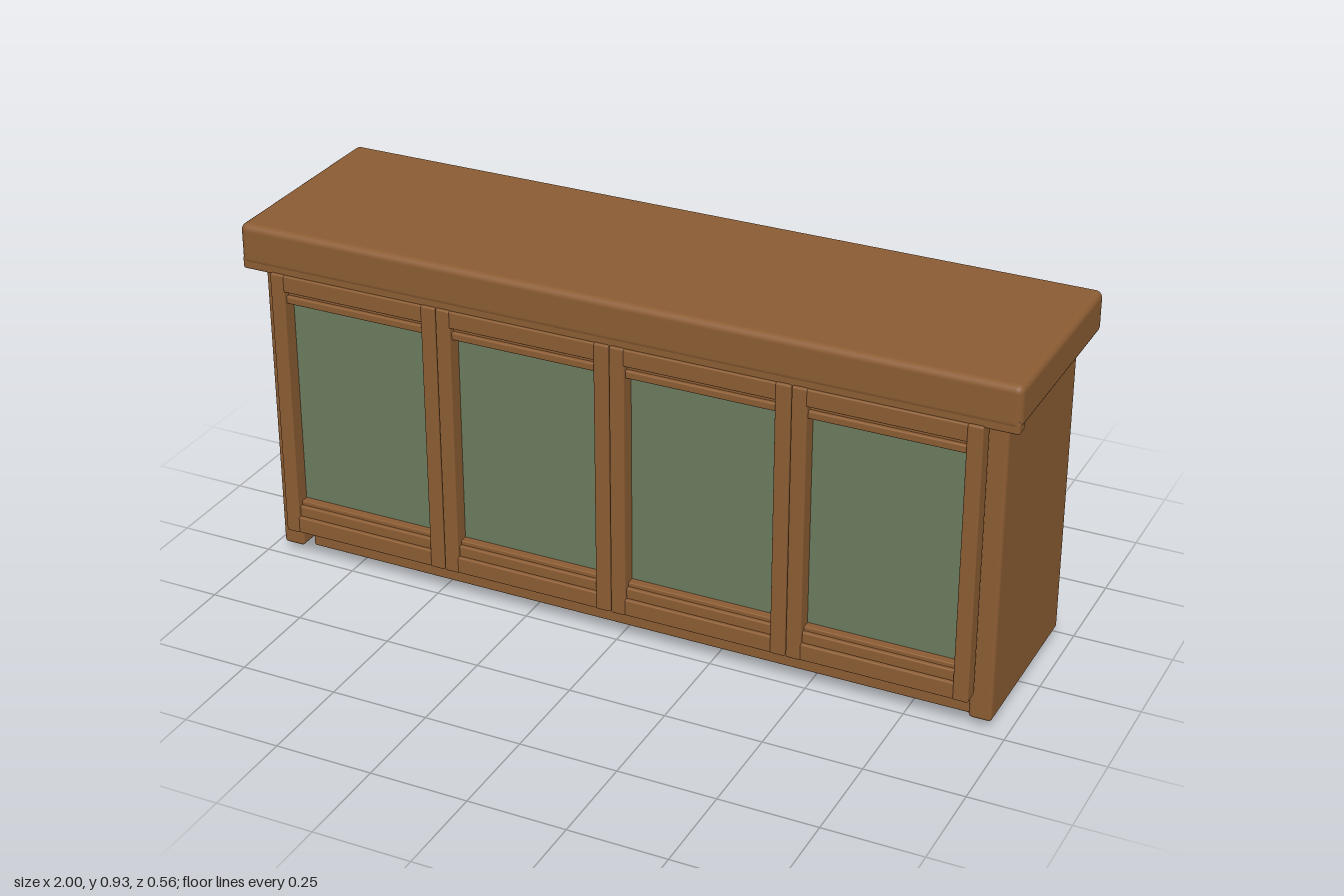
import * as THREE from 'three';
import { RoundedBoxGeometry } from 'three/addons/geometries/RoundedBoxGeometry.js';

export function createModel() {
  const wood = new THREE.MeshStandardMaterial({ name: 'brown wood', color: 0x8b5c33 });
  const glass = new THREE.MeshStandardMaterial({ name: 'green glass', color: 0x6b7b5e });
  const model = new THREE.Group();
  model.name = 'sideboard';

  // Softly rounded board given by its extents on each axis
  function board(parent, name, [x0, x1], [y0, y1], [z0, z1], radius = 0.006, material = wood) {
    const w = x1 - x0, h = y1 - y0, d = z1 - z0;
    const geometry = radius > 0
      ? new RoundedBoxGeometry(w, h, d, 3, radius)
      : new THREE.BoxGeometry(w, h, d);
    const mesh = new THREE.Mesh(geometry, material);
    mesh.name = name;
    mesh.position.set((x0 + x1) / 2, (y0 + y1) / 2, (z0 + z1) / 2);
    parent.add(mesh);
    return mesh;
  }

  // Top slab with a lip under its front edge
  board(model, 'top', [-1, 1], [0.82, 0.927], [-0.28, 0.276], 0.018);
  board(model, 'topLip', [-0.997, 0.997], [0.809, 0.842], [0.238, 0.274], 0.006);

  // Carcass
  board(model, 'leftSide', [0.902, 0.96], [0.026, 0.822], [-0.236, 0.233], 0.01);
  board(model, 'rightSide', [-0.96, -0.902], [0.026, 0.822], [-0.236, 0.233], 0.01);
  board(model, 'plinth', [-0.905, 0.905], [0.002, 0.068], [-0.185, 0.181]);
  board(model, 'floor', [-0.903, 0.903], [0.064, 0.104], [-0.205, 0.228]);
  board(model, 'topRail', [-0.903, 0.903], [0.765, 0.822], [0.19, 0.228]);
  board(model, 'backPanel', [-0.903, 0.903], [0.045, 0.822], [-0.215, -0.19], 0);

  // Horizontal battens across the back
  for (const y of [0.243, 0.526]) {
    board(model, 'backBatten', [-0.903, 0.903], [y, y + 0.034], [-0.242, -0.205]);
  }

  // Four framed doors with glass panes
  for (let i = 0; i < 4; i++) {
    const door = new THREE.Group();
    door.name = 'door' + (i + 1);
    door.position.x = (i - 1.5) * 0.459;
    const z = [0.238, 0.282], half = 0.2285, inner = 0.19;
    board(door, 'doorStileLeft', [inner, half], [0.097, 0.815], z, 0.005);
    board(door, 'doorStileRight', [-half, -inner], [0.097, 0.815], z, 0.005);
    const across = [-inner - 0.003, inner + 0.003];
    board(door, 'doorTopRail', across, [0.77, 0.814], [0.239, 0.281], 0.004);
    board(door, 'doorBottomRail', across, [0.098, 0.142], [0.239, 0.281], 0.004);
    // Recessed stepped mouldings above and below the pane
    board(door, 'topMoulding', across, [0.752, 0.772], [0.239, 0.262], 0.003);
    board(door, 'topBead', across, [0.736, 0.756], [0.239, 0.272], 0.004);
    board(door, 'bottomMoulding', across, [0.14, 0.17], [0.239, 0.272], 0.004);
    board(door, 'bottomBead', across, [0.166, 0.181], [0.239, 0.262], 0.003);
    board(door, 'pane', [-0.195, 0.195], [0.165, 0.75], [0.232, 0.241], 0, glass);
    model.add(door);
  }
  return model;
}
